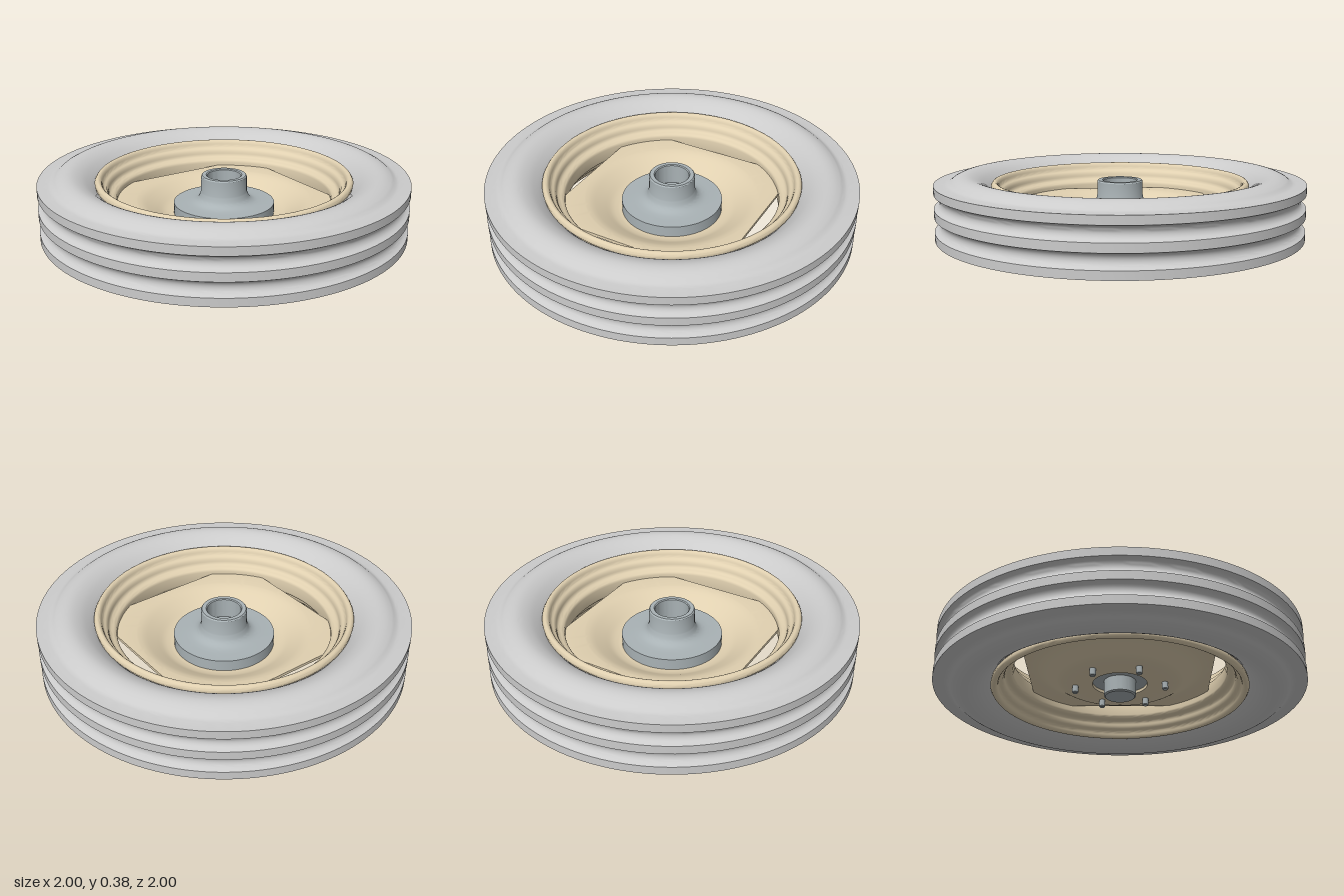
import * as THREE from 'three';
import { toCreasedNormals } from 'three/addons/utils/BufferGeometryUtils.js';

const MID = 0.189; // height of the wheel's middle plane

const material = (color) => new THREE.MeshStandardMaterial({ color, side: THREE.DoubleSide });
const rubber = material(0xcccccc);
const paint = material(0xe0d0b0);
const steel = material(0xa9b2b5);

const points = (list) => list.map(([r, y]) => new THREE.Vector2(r, y));

// Mirrors a half profile (upper half, offsets from the middle plane)
const mirrored = (half) => [
  ...half.map(([r, d]) => [r, MID - d]).reverse(),
  ...half.map(([r, d]) => [r, MID + d]),
];

// Smooth run of points through a few control points
const smooth = (list, n) => new THREE.SplineCurve(points(list)).getPoints(n).map((p) => [p.x, p.y]);

function revolve(name, profile, mat, segments = 128, crease = 0.55) {
  const geometry = toCreasedNormals(new THREE.LatheGeometry(points(profile), segments), crease);
  const mesh = new THREE.Mesh(geometry, mat);
  mesh.name = name;
  return mesh;
}

// Tyre: three ribs, two hollow grooves, stepped shoulder and bulging sidewall
function makeTyre() {
  const half = [
    [1, 0.023],
    ...smooth([[0.995, 0.025], [0.976, 0.038], [0.968, 0.061], [0.976, 0.085], [0.995, 0.099]], 10),
    [1, 0.101],
    [1, 0.146],
    ...smooth([[0.945, 0.147], [0.925, 0.151], [0.905, 0.164]], 5),
    ...smooth([[0.9, 0.168], [0.87, 0.182], [0.835, 0.188], [0.8, 0.183], [0.76, 0.166],
      [0.725, 0.141], [0.7, 0.118], [0.675, 0.09]], 20),
    [0.66, 0.03],
  ];
  const profile = mirrored(half);
  profile.push(profile[0]);
  return revolve('tyre', profile, rubber, 144);
}

// Rim: curled flanges, bead seats and a dropped centre
function makeRim() {
  const half = [
    [0.583, 0.03],
    ...smooth([[0.585, 0.04], [0.595, 0.05], [0.612, 0.056], [0.624, 0.066], [0.628, 0.085]], 8),
    ...smooth([[0.635, 0.1], [0.648, 0.108], [0.656, 0.118], [0.662, 0.138], [0.674, 0.149],
      [0.688, 0.147], [0.698, 0.132]], 12),
    [0.695, 0.115],
  ];
  return revolve('rim', mirrored(half), paint, 128, 0.7);
}

// Dished centre plate, its outer edge trimmed to a square with rounded corners
function makePlate() {
  const RIM_R = 0.585, HALF = 0.508, T = 0.016;
  const top = [
    [RIM_R, 0.203],
    ...smooth([[0.48, 0.203], [0.44, 0.192], [0.38, 0.16], [0.33, 0.131], [0.29, 0.12]], 12),
    [0.15, 0.12],
  ];
  const bottom = top.map(([r, y]) => [r, y - T]).reverse();
  const geometry = new THREE.LatheGeometry(points([...bottom, ...top, bottom[0]]), 180);
  const pos = geometry.attributes.position;
  for (let i = 0; i < pos.count; i++) {
    const x = pos.getX(i), z = pos.getZ(i);
    const k = Math.min(1, HALF / Math.max(Math.abs(x), Math.abs(z)));
    pos.setX(i, x * k);
    pos.setZ(i, z * k);
  }
  const mesh = new THREE.Mesh(toCreasedNormals(geometry, 0.5), paint);
  mesh.name = 'centrePlate';
  mesh.rotation.y = 0.02;
  return mesh;
}

// Hub: boss below, round flange, filleted neck and a blind bore on top
function makeHub() {
  const profile = [
    [0, 0.03], [0.08, 0.03], [0.087, 0.037], [0.087, 0.12], [0.275, 0.12], [0.275, 0.182],
    ...smooth([[0.21, 0.182], [0.17, 0.188], [0.14, 0.208], [0.125, 0.245]], 12),
    [0.124, 0.328], [0.119, 0.335], [0.097, 0.335], [0.092, 0.33], [0.092, 0.22], [0, 0.22],
  ];
  return revolve('hub', profile, steel, 64);
}

// Ring of six studs under the plate
function makeStuds() {
  const group = new THREE.Group();
  group.name = 'studs';
  const profile = [[0, 0.062], [0.013, 0.062], [0.017, 0.067], [0.017, 0.125]];
  for (let i = 0; i < 6; i++) {
    const a = (i * Math.PI) / 3 + 0.59;
    const stud = revolve('stud', profile, steel, 16);
    stud.position.set(0.246 * Math.cos(a), 0, 0.246 * Math.sin(a));
    group.add(stud);
  }
  return group;
}

export function createModel() {
  const wheel = new THREE.Group();
  wheel.name = 'wheel';
  wheel.add(makeTyre(), makeRim(), makePlate(), makeHub(), makeStuds());
  return wheel;
}
